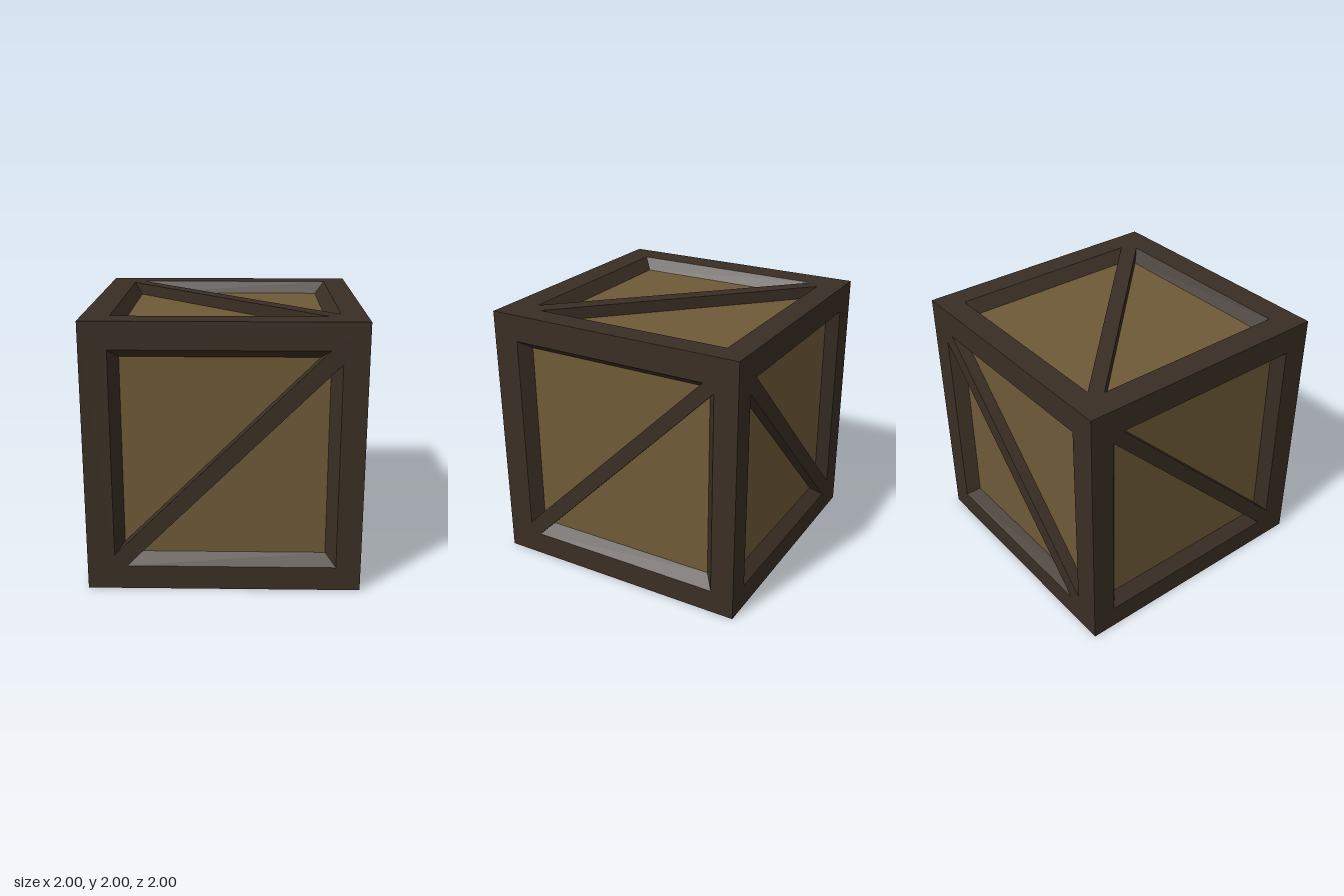
import * as THREE from 'three';

const DEPTH = 0.09; // how far the panels are sunk behind the frame

const frameMat = new THREE.MeshStandardMaterial({ color: 0x3a2e24 });
frameMat.name = 'dark wood';
const panelMat = new THREE.MeshStandardMaterial({ color: 0x6e5a37 });
panelMat.name = 'light wood';

const toPoints = (list) => list.map(([x, y]) => new THREE.Vector2(x, y));

// Sloped walls leading from an opening in the frame down to its panel
function wallGeometry(outer, inner) {
  const pos = [];
  outer.forEach((o, i) => {
    const j = (i + 1) % outer.length;
    const a = [o.x, o.y, 1], b = [outer[j].x, outer[j].y, 1];
    const c = [inner[j].x, inner[j].y, 1 - DEPTH], d = [inner[i].x, inner[i].y, 1 - DEPTH];
    pos.push(...a, ...b, ...c, ...a, ...c, ...d);
  });
  const g = new THREE.BufferGeometry();
  g.setAttribute('position', new THREE.Float32BufferAttribute(pos, 3));
  g.computeVertexNormals();
  return g;
}

// One crate side facing +z; a and b are where the brace's lower edge meets the opening
function makeSide(name, a, b) {
  const side = new THREE.Group();
  side.name = name;
  const add = (part, geometry, material) => {
    const mesh = new THREE.Mesh(geometry, material);
    mesh.name = part;
    side.add(mesh);
    return mesh;
  };

  // Lower edge of the brace, continued to the panel's smaller outline
  const slope = (a + 0.82) / (0.82 - b);
  const aIn = a - slope * 0.075;
  const bIn = b + 0.08 / slope;

  const openings = [
    { // above the brace
      outer: toPoints([[-0.8, 0.8], [-0.8, -0.735], [0.735, 0.8]]),
      inner: toPoints([[-0.73, 0.735], [-0.73, -0.665], [0.67, 0.735]]),
    },
    { // below the brace
      outer: toPoints([[0.82, -0.82], [0.82, a], [b, -0.82]]),
      inner: toPoints([[0.745, -0.74], [0.745, aIn], [bIn, -0.74]]),
    },
  ];

  // Flat frame with its diagonal brace
  const face = new THREE.Shape(toPoints([[-1, -1], [1, -1], [1, 1], [-1, 1]]));
  for (const o of openings) face.holes.push(new THREE.Path(o.outer));
  add('frameAndBrace', new THREE.ShapeGeometry(face), frameMat).position.z = 1;

  // Recess walls and sunken panels
  for (const { outer, inner } of openings) {
    add('recessWalls', wallGeometry(outer, inner), frameMat);
    add('panel', new THREE.ShapeGeometry(new THREE.Shape(inner)), panelMat).position.z = 1 - DEPTH;
  }
  return side;
}

export function createModel() {
  const crate = new THREE.Group();
  crate.name = 'crate';
  const H = Math.PI / 2;

  // name, turn about x, turn about y, turn in the side's own plane, brace ends
  const sides = [
    ['frontSide', 0, 0, 0, 0.705, -0.71],
    ['rightSide', 0, H, 0, 0.74, -0.715],
    ['backSide', 0, 2 * H, -H, 0.705, -0.71],
    ['leftSide', 0, -H, -H, 0.715, -0.74],
    ['topSide', -H, 0, H, 0.73, -0.705],
    ['bottomSide', H, 0, 0, 0.705, -0.73],
  ];
  for (const [name, rx, ry, rz, a, b] of sides) {
    const side = makeSide(name, a, b);
    side.rotation.set(rx, ry, rz);
    side.position.y = 1;
    crate.add(side);
  }
  return crate;
}
